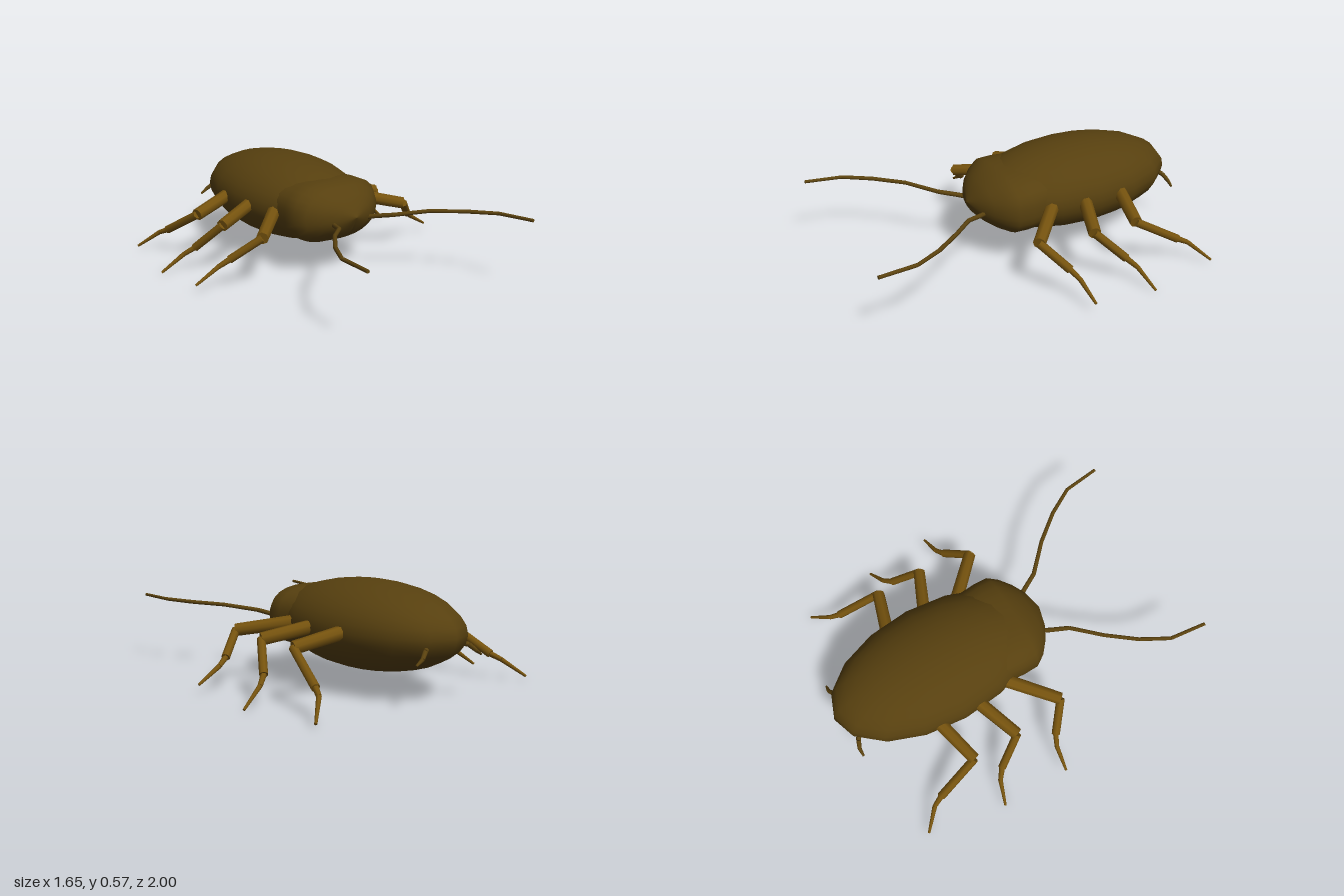
import * as THREE from 'three';

const mat = (color) => new THREE.MeshStandardMaterial({ color });
const shellMat = mat(0x57400f);
const legMat = mat(0x76530e);
const feelerMat = mat(0x5c430f);
const UP = new THREE.Vector3(0, 1, 0);

function mesh(name, geometry, material) {
  const m = new THREE.Mesh(geometry, material);
  m.name = name;
  return m;
}

// Chain of tapered cylinders through points; radii has one entry per point
function chain(name, points, radii, material) {
  const group = new THREE.Group();
  group.name = name;
  for (let i = 0; i < points.length - 1; i++) {
    const a = new THREE.Vector3(...points[i]);
    const b = new THREE.Vector3(...points[i + 1]);
    const d = b.clone().sub(a);
    const geo = new THREE.CylinderGeometry(radii[i + 1], radii[i], d.length(), 8);
    const part = mesh(name + 'Segment', geo, material);
    part.position.copy(a).add(b).multiplyScalar(0.5);
    part.quaternion.setFromUnitVectors(UP, d.normalize());
    group.add(part);
  }
  return group;
}

// Head shield: revolved profile, squared off where it meets the body
function headGeometry() {
  const profile = [[0.95, -0.15], [1, 0.02], [0.99, 0.1], [0.87, 0.155], [0.66, 0.205], [0.42, 0.245], [0, 0.28]];
  const geo = new THREE.LatheGeometry(profile.map(([r, z]) => new THREE.Vector2(r, z)), 32);
  geo.rotateX(Math.PI / 2);
  const p = geo.attributes.position;
  for (let i = 0; i < p.count; i++) {
    const x = p.getX(i), y = p.getY(i), z = p.getZ(i);
    const r = Math.hypot(x, y) || 1;
    const n = z < 0.12 ? 2.8 : 2.3;
    const k = Math.pow(Math.pow(Math.abs(x / r), n) + Math.pow(Math.abs(y / r), n), -1 / n);
    p.setXY(i, x * k * 0.287, y * k * 0.168);
  }
  geo.computeVertexNormals();
  return geo;
}

// Joints of each leg on the model's left: hip, knee, ankle, foot bend, tip
const LEGS = {
  front: [[0.24, 0.34, -0.13], [0.5, 0.285, 0.115], [0.635, 0.17, 0.01], [0.69, 0.135, -0.015], [0.82, 0.06, -0.028]],
  middle: [[0.24, 0.35, -0.315], [0.55, 0.285, -0.19], [0.64, 0.14, -0.335], [0.69, 0.1, -0.375], [0.81, 0.01, -0.413]],
  rear: [[0.24, 0.35, -0.54], [0.55, 0.28, -0.455], [0.61, 0.14, -0.7], [0.635, 0.115, -0.755], [0.73, 0.025, -0.85]],
};

function addSide(model, side, label) {
  const flip = (pts) => pts.map(([x, y, z]) => [x * side, y, z]);
  for (const [row, joints] of Object.entries(LEGS)) {
    const [hip, knee, ankle, bend, tip] = flip(joints);
    const leg = new THREE.Group();
    leg.name = `${label}${row[0].toUpperCase()}${row.slice(1)}Leg`;
    leg.add(
      chain('thigh', [hip, knee], [0.038, 0.034], legMat),
      chain('shin', [knee, ankle], [0.023, 0.023], legMat),
      chain('foot', [ankle, bend, tip], [0.016, 0.013, 0.007], legMat),
    );
    model.add(leg);
  }
  // Long feeler sweeping forwards and outwards
  model.add(chain(label + 'Antenna', flip([
    [0.1, 0.3, 0.2], [0.14, 0.315, 0.265], [0.19, 0.335, 0.36], [0.33, 0.363, 0.495],
    [0.45, 0.373, 0.645], [0.535, 0.382, 0.795], [0.56, 0.39, 1],
  ]), [0.014, 0.013, 0.012, 0.011, 0.011, 0.01, 0.009], feelerMat));
  // Short tail feeler
  model.add(chain(label + 'TailFeeler', flip([
    [0.1, 0.3, -0.91], [0.15, 0.285, -0.94], [0.185, 0.255, -0.957], [0.225, 0.23, -0.957],
  ]), [0.013, 0.013, 0.011, 0.006], feelerMat));
}

export function createModel() {
  const model = new THREE.Group();
  model.name = 'beetle';

  // Oval body
  const body = mesh('body', new THREE.SphereGeometry(1, 16, 16), shellMat);
  body.scale.set(0.342, 0.235, 0.62);
  body.position.set(0, 0.335, -0.38);
  model.add(body);

  const head = mesh('head', headGeometry(), shellMat);
  head.position.y = 0.337;
  model.add(head);

  addSide(model, 1, 'left');
  addSide(model, -1, 'right');
  return model;
}
